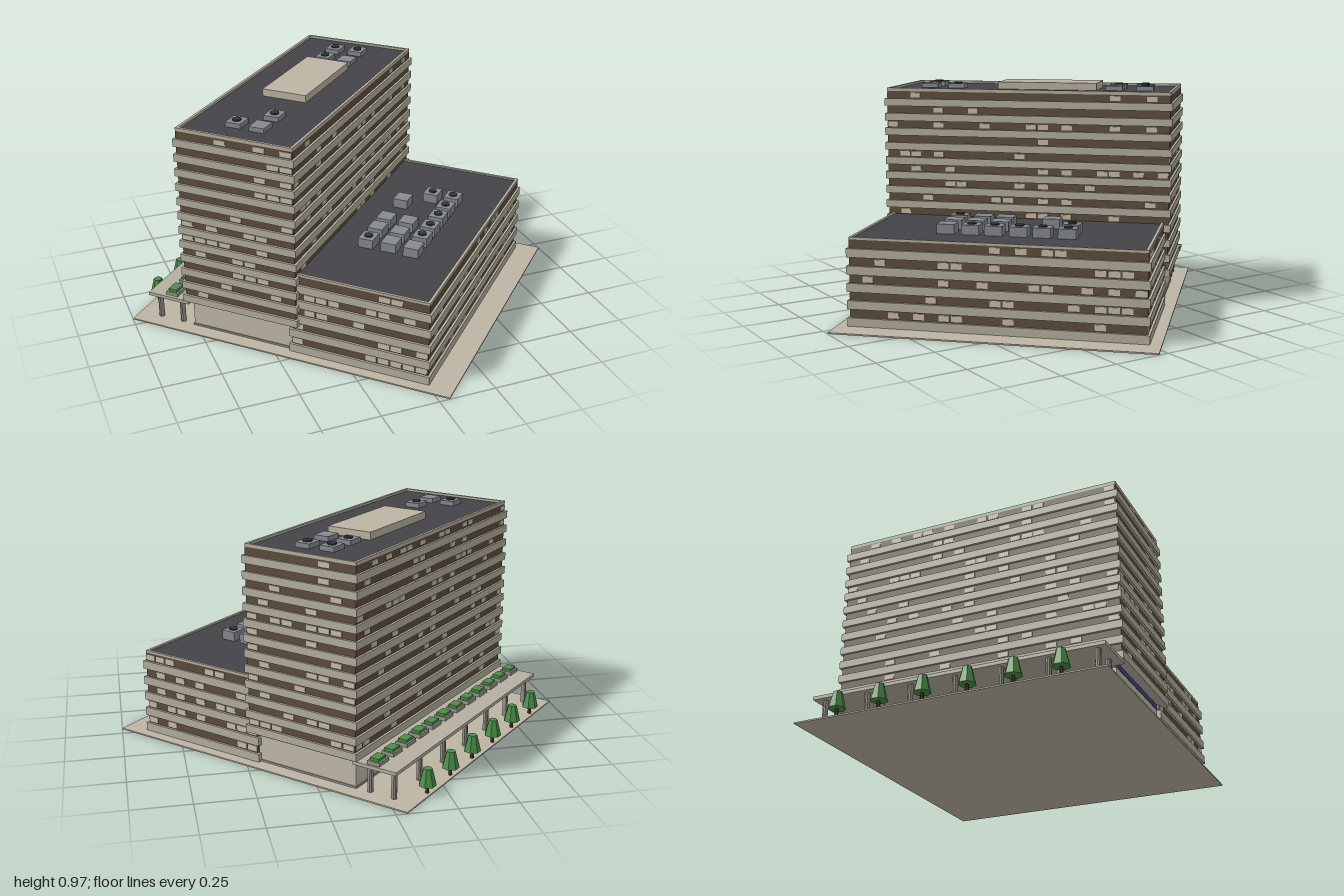
import * as THREE from 'three';
import { mergeGeometries } from 'three/addons/utils/BufferGeometryUtils.js';

const mat = (color) => new THREE.MeshStandardMaterial({ color, flatShading: true });
const M = {
  paving: mat(0xbdb5a5), concrete: mat(0xb5b0a0), glass: mat(0x5e4e3e), pane: mat(0xc9c0ac),
  roof: mat(0x444348), unit: mat(0x868b91), fan: mat(0x34363a), lobby: mat(0xc4bcab),
  blue: mat(0x3c4a75), leaf: mat(0x4b8f48), trunk: mat(0x4a3826), column: mat(0x9a968c),
};

// Box from its limits: x0..x1, y0..y1, z0..z1
function slab(x0, x1, y0, y1, z0, z1) {
  return new THREE.BoxGeometry(x1 - x0, y1 - y0, z1 - z0)
    .translate((x0 + x1) / 2, (y0 + y1) / 2, (z0 + z1) / 2);
}

function add(parent, name, geometries, material) {
  const mesh = new THREE.Mesh(mergeGeometries([geometries].flat()), material);
  mesh.name = name;
  parent.add(mesh);
  return mesh;
}

function seeded(seed) {
  return () => {
    seed = (seed * 16807) % 2147483647;
    return seed / 2147483647;
  };
}

// Block of floors: projecting spandrels, recessed window strips, lit panes, parapet and deck
function block(name, { hx, z0, z1, y0, pitch, floors, top, seed }) {
  const group = new THREE.Group();
  group.name = name;
  const random = seeded(seed);
  const out = 0.01, half = pitch / 2, yEnd = y0 + pitch * floors;
  const bands = [], strips = [], panes = [];
  const sides = [
    { len: z1 - z0, density: 0.36, box: (c, y, w, h) => slab(hx, hx + 0.003, y, y + h, z0 + c, z0 + c + w) },
    { len: z1 - z0, density: 0.36, box: (c, y, w, h) => slab(-hx - 0.003, -hx, y, y + h, z0 + c, z0 + c + w) },
    { len: hx * 2, density: 0.25, box: (c, y, w, h) => slab(-hx + c, -hx + c + w, y, y + h, z1, z1 + 0.003) },
    { len: hx * 2, density: 0.25, box: (c, y, w, h) => slab(-hx + c, -hx + c + w, y, y + h, z0 - 0.003, z0) },
  ];
  for (let i = 0; i < floors; i++) {
    const y = y0 + i * pitch;
    bands.push(slab(-hx - out, hx + out, y, y + half, z0 - out, z1 + out));
    strips.push(slab(-hx, hx, y + half, y + pitch, z0, z1));
    for (const { len, density, box } of sides) {
      const count = Math.floor(len / 0.053), step = len / count;
      for (let k = 0; k < count; k++) {
        if (random() < density) panes.push(box(k * step + 0.004, y + half + 0.006, step - 0.008, half - 0.012));
      }
    }
  }
  add(group, 'spandrelBands', bands, M.concrete);
  add(group, 'windowStrips', strips, M.glass);
  add(group, 'litPanes', panes, M.pane);
  const t = 0.012;
  add(group, 'parapet', [
    slab(-hx, hx, yEnd, top, z0, z0 + t), slab(-hx, hx, yEnd, top, z1 - t, z1),
    slab(-hx, -hx + t, yEnd, top, z0 + t, z1 - t), slab(hx - t, hx, yEnd, top, z0 + t, z1 - t),
  ], M.concrete);
  add(group, 'roofDeck', slab(-hx + t, hx - t, yEnd - 0.002, yEnd + 0.004, z0 + t, z1 - t), M.roof);
  return group;
}

// Rooftop units given as [plan x, plan z, has fan] before the site rotation
function roofUnits(name, list, y, h) {
  const group = new THREE.Group();
  group.name = name;
  const boxes = [], fans = [];
  for (const [px, pz, fan] of list) {
    const x = (px - pz) * Math.SQRT1_2, z = (px + pz) * Math.SQRT1_2;
    boxes.push(slab(x - 0.038, x + 0.038, y, y + h, z - 0.034, z + 0.034));
    if (fan) fans.push(new THREE.CylinderGeometry(0.019, 0.019, 0.006, 10).translate(x, y + h + 0.003, z));
  }
  add(group, 'unitBoxes', boxes, M.unit);
  add(group, 'unitFans', fans, M.fan);
  return group;
}

export function createModel() {
  const model = new THREE.Group();
  model.name = 'officeComplex';
  const site = new THREE.Group();
  site.name = 'site';
  site.rotation.y = Math.PI / 4;
  model.add(site);

  add(site, 'pavedBase', slab(-0.675, 0.675, 0, 0.006, -0.739, 0.739), M.paving);

  // Tower and lower wing
  site.add(block('tower', { hx: 0.638, z0: -0.478, z1: 0.046, y0: 0.142, pitch: 0.0663, floors: 12, top: 0.952, seed: 71 }));
  site.add(block('lowWing', { hx: 0.618, z0: 0.018, z1: 0.624, y0: 0.006, pitch: 0.0733, floors: 5, top: 0.383, seed: 913 }));

  // Recessed lobby under the tower
  add(site, 'lobbyPlinth', slab(-0.612, 0.612, 0.006, 0.014, -0.467, 0.03), M.column);
  add(site, 'lobbyWalls', slab(-0.608, 0.608, 0.014, 0.12, -0.463, 0.03), M.lobby);
  add(site, 'lobbyClerestory', slab(-0.61, 0.61, 0.12, 0.142, -0.465, 0.03), M.blue);

  // Rear canopy on two rows of columns
  add(site, 'canopy', slab(-0.642, 0.642, 0.125, 0.14, -0.667, -0.467), M.concrete);
  const columns = [];
  for (const z of [-0.635, -0.525]) {
    for (let i = 0; i < 7; i++) {
      columns.push(new THREE.CylinderGeometry(0.012, 0.012, 0.12, 10).translate(-0.6 + i * 0.2, 0.066, z));
    }
  }
  add(site, 'canopyColumns', columns, M.column);

  // Planters along the canopy
  const trays = [], shrubs = [];
  for (let i = 0; i < 12; i++) {
    const x = -0.592 + i * 0.1082, z = -0.558;
    trays.push(slab(x - 0.036, x + 0.036, 0.14, 0.156, z - 0.028, z + 0.028));
    shrubs.push(slab(x - 0.028, x + 0.028, 0.156, 0.168, z - 0.02, z + 0.02));
  }
  add(site, 'planterTrays', trays, M.column);
  add(site, 'planterShrubs', shrubs, M.leaf);

  // Row of clipped trees
  const trunks = [], crowns = [];
  for (let i = 0; i < 6; i++) {
    const x = -0.486 + i * 0.1944, z = -0.72;
    trunks.push(new THREE.CylinderGeometry(0.007, 0.009, 0.04, 6).translate(x, 0.024, z));
    crowns.push(new THREE.CylinderGeometry(0.019, 0.037, 0.072, 7).translate(x, 0.076, z));
  }
  add(site, 'treeTrunks', trunks, M.trunk);
  add(site, 'treeCrowns', crowns, M.leaf);

  // Rooftop equipment
  add(site, 'penthouse', slab(-0.163, 0.29, 0.938, 0.974, -0.325, -0.12), M.paving);
  site.add(roofUnits('towerUnits', [
    [-0.54, 0.15, 1], [-0.465, 0.23, 0], [-0.375, 0.14, 1],
    [0.155, -0.545, 1], [0.07, -0.455, 1], [0.24, -0.475, 1], [0.145, -0.375, 0],
  ], 0.94, 0.022));
  site.add(roofUnits('wingUnits', [
    [0.26, 0.04, 0], [0.41, 0.04, 1], [0.48, 0.11, 1], [0.405, 0.185, 1], [0.335, 0.255, 1],
    [0.26, 0.33, 1], [0.19, 0.4, 1], [0.115, 0.475, 0], [0.045, 0.4, 0], [-0.03, 0.33, 1],
    [0.045, 0.255, 0], [0.115, 0.185, 0], [0.19, 0.255, 0], [0.115, 0.33, 0],
  ], 0.375, 0.043));
  return model;
}
